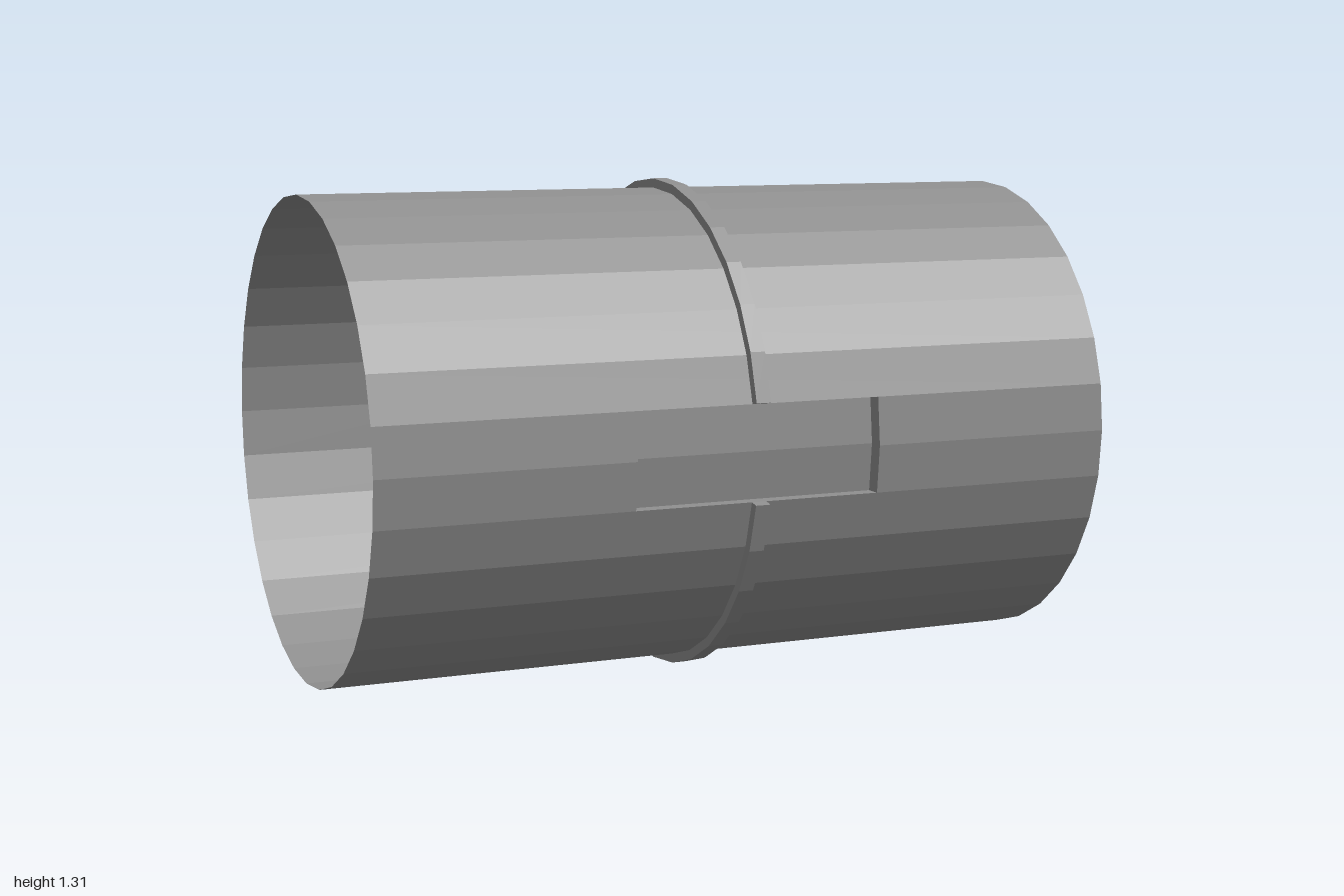
import * as THREE from 'three';

const SIDES = 32, STEP = (Math.PI * 2) / SIDES;
const R = 0.632, RING_R = 0.6565, RING_W = 0.04;
const HALF = 1, SLOT = 0.333, DEPTH = 0.042;
const GREY = 0x909090;

const solid = new THREE.MeshStandardMaterial({ color: GREY, flatShading: true });
const thin = new THREE.MeshStandardMaterial({ color: GREY, flatShading: true, side: THREE.DoubleSide });

// Curved sheet along x; side 0 starts at +z and sides count up towards +y
function sheet(name, firstSide, sides, x0, x1) {
  const g = new THREE.CylinderGeometry(R, R, x1 - x0, sides, 1, true, firstSide * STEP, sides * STEP);
  g.rotateZ(Math.PI / 2).translate((x0 + x1) / 2, 0, 0);
  const mesh = new THREE.Mesh(g, thin);
  mesh.name = name;
  return mesh;
}

function arc(radius, first, last) {
  const pts = [];
  for (let i = first; i <= last; i++) {
    pts.push(new THREE.Vector2(radius * Math.cos(i * STEP), radius * Math.sin(i * STEP)));
  }
  return pts;
}

// Raised half band around the middle, stopping at the recesses
function halfRing(name) {
  const shape = new THREE.Shape([...arc(RING_R, 1, SIDES / 2 - 1), ...arc(R, 1, SIDES / 2 - 1).reverse()]);
  const g = new THREE.ExtrudeGeometry(shape, { depth: RING_W, bevelEnabled: false });
  g.translate(0, 0, -RING_W / 2).rotateY(Math.PI / 2);
  const mesh = new THREE.Mesh(g, solid);
  mesh.name = name;
  return mesh;
}

// Shallow rectangular pocket, two sides tall, sunk into the shell
function recess(name) {
  const group = new THREE.Group();
  group.name = name;

  const floor = sheet('recessFloor', -1, 2, -SLOT, SLOT);
  floor.position.z = -DEPTH;
  group.add(floor);

  const rim = arc(R, -1, 1);
  const section = [...rim, ...rim.map(p => new THREE.Vector2(p.x - DEPTH, p.y)).reverse()];
  const endGeometry = new THREE.ShapeGeometry(new THREE.Shape(section)).rotateY(-Math.PI / 2);
  for (const s of [-1, 1]) {
    const end = new THREE.Mesh(endGeometry, thin);
    end.name = 'recessEndWall';
    end.position.x = s * SLOT;

    const ledge = new THREE.Mesh(new THREE.PlaneGeometry(SLOT * 2, DEPTH).rotateX(Math.PI / 2), thin);
    ledge.name = 'recessLedge';
    ledge.position.set(0, s * R * Math.sin(STEP), R * Math.cos(STEP) - DEPTH / 2);
    group.add(end, ledge);
  }
  return group;
}

export function createModel() {
  const model = new THREE.Group();
  model.name = 'pipeSleeve';

  // Full-length upper and lower shell
  model.add(sheet('upperShell', 1, SIDES / 2 - 2, -HALF, HALF));
  model.add(sheet('lowerShell', SIDES / 2 + 1, SIDES / 2 - 2, -HALF, HALF));

  // Shell beside the recesses, front and back
  for (const first of [-1, SIDES / 2 - 1]) {
    model.add(sheet('sideShell', first, 2, -HALF, -SLOT));
    model.add(sheet('sideShell', first, 2, SLOT, HALF));
  }

  // Middle band
  const lowerRing = halfRing('lowerRing');
  lowerRing.rotation.x = Math.PI;
  model.add(halfRing('upperRing'), lowerRing);

  // Recesses
  const backRecess = recess('backRecess');
  backRecess.rotation.y = Math.PI;
  model.add(recess('frontRecess'), backRecess);

  for (const part of model.children) part.position.y += RING_R;
  return model;
}
